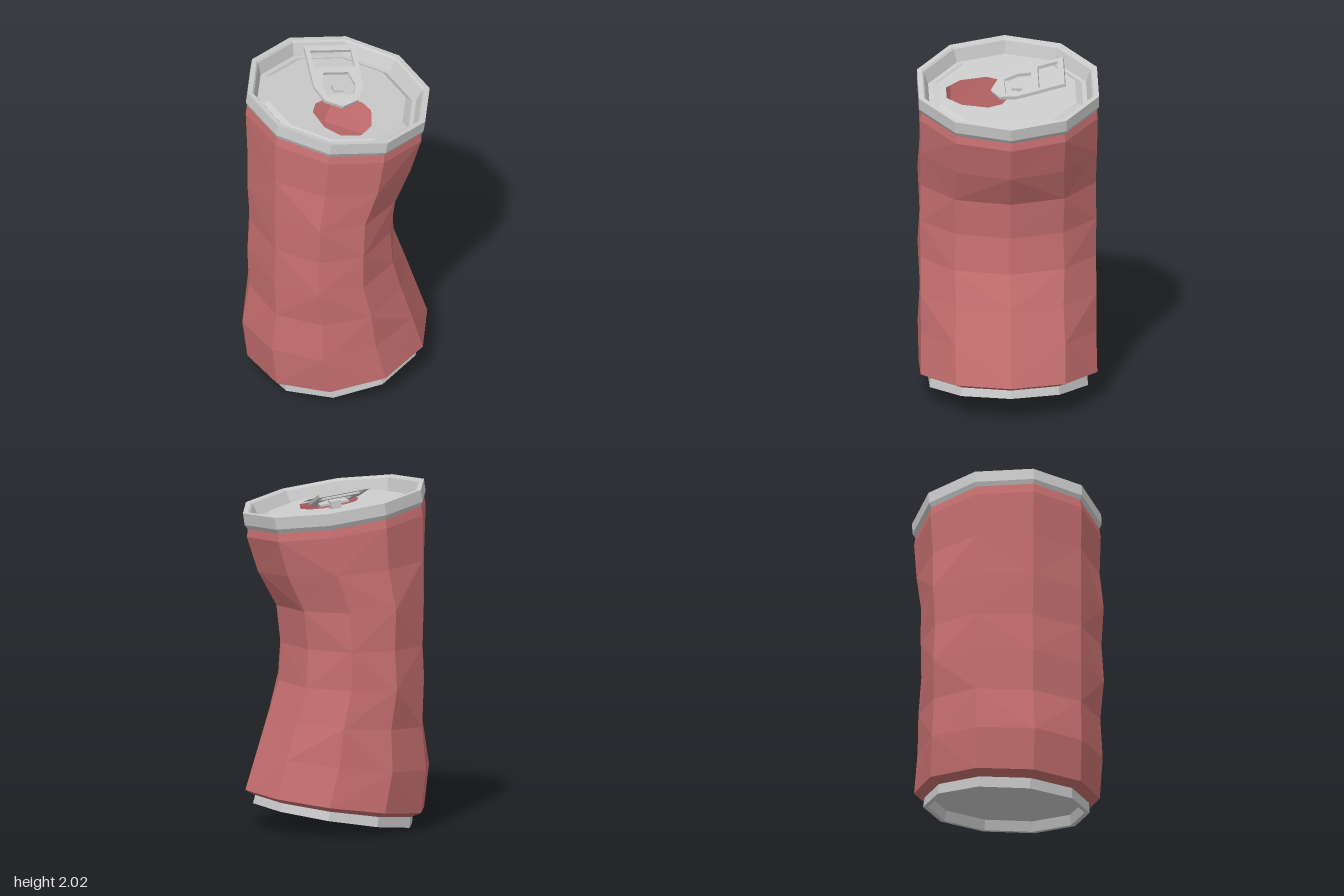
import * as THREE from 'three';

const SIDES = 10;
const silver = new THREE.MeshStandardMaterial({ color: 0xcccccc, flatShading: true, side: THREE.DoubleSide });
const red = new THREE.MeshStandardMaterial({ color: 0xc87070, flatShading: true, side: THREE.DoubleSide });

function add(parent, name, geometry, material = silver) {
  const mesh = new THREE.Mesh(geometry, material);
  mesh.name = name;
  parent.add(mesh);
  return mesh;
}

const points = (list) => list.map(([x, y]) => new THREE.Vector2(x, y));

// Ten-sided turned part with a corner on +x
const turned = (profile) => new THREE.LatheGeometry(points(profile), SIDES, Math.PI / 2);

// Dented wall: each ring is [left x, left y, right x, right y, z radius]
function bodyGeometry() {
  const rings = [
    [-0.465, 0.065, 0.48, 0.2, 0.475],
    [-0.53, 0.09, 0.535, 0.23, 0.535],
    [-0.56, 0.34, 0.466, 0.45, 0.535],
    [-0.52, 0.6, 0.4, 0.66, 0.53],
    [-0.53, 0.85, 0.335, 0.86, 0.535],
    [-0.515, 1.08, 0.325, 1.08, 0.53],
    [-0.53, 1.33, 0.35, 1.3, 0.535],
    [-0.53, 1.58, 0.46, 1.5, 0.53],
    [-0.54, 1.85, 0.525, 1.7, 0.538],
    [-0.53, 1.905, 0.52, 1.75, 0.528],
  ];
  const position = [], index = [];
  rings.forEach(([xl, yl, xr, yr, rz], j) => {
    const dented = j > 1 && j < 8;
    for (let i = 0; i < SIDES; i++) {
      const angle = (i / SIDES) * Math.PI * 2;
      const c = Math.cos(angle), s = Math.sin(angle);
      const wave = dented ? ((i + j) % 2 ? 1.008 : 0.992) : 1;
      position.push(
        (xl + xr) / 2 + ((xr - xl) / 2) * c * (dented && i % 5 ? wave : 1),
        (yl + yr) / 2 + ((yr - yl) / 2) * c,
        rz * s * wave
      );
    }
  });
  // Diagonals alternate so the facets form diamonds
  for (let j = 0; j < rings.length - 1; j++) {
    for (let i = 0; i < SIDES; i++) {
      const n = (i + 1) % SIDES;
      const a = j * SIDES + i, b = j * SIDES + n, d = a + SIDES, e = b + SIDES;
      if ((i + j) % 2) index.push(a, d, e, a, e, b);
      else index.push(a, d, b, d, e, b);
    }
  }
  const geometry = new THREE.BufferGeometry();
  geometry.setAttribute('position', new THREE.Float32BufferAttribute(position, 3));
  geometry.setIndex(index);
  geometry.computeVertexNormals();
  return geometry;
}

// Tilted lid with rim, raised panel and mouth opening
function createLid() {
  const lid = new THREE.Group();
  lid.name = 'lid';
  add(lid, 'topRim', turned([
    [0.525, -0.105], [0.545, -0.07], [0.545, 0], [0.515, 0],
    [0.505, -0.01], [0.478, -0.085], [0.452, -0.085], [0.41, -0.06],
  ]));

  const outline = [];
  for (let i = 0; i < SIDES; i++) {
    const angle = (i / SIDES) * Math.PI * 2;
    outline.push([0.41 * Math.cos(angle), 0.41 * Math.sin(angle)]);
  }
  const panel = new THREE.Shape(points(outline));
  panel.holes.push(new THREE.Path(points([
    [-0.06, -0.355], [-0.14, -0.27], [-0.175, -0.12], [-0.14, -0.04], [-0.07, 0.0],
    [0.07, 0.0], [0.14, -0.04], [0.175, -0.12], [0.14, -0.27], [0.06, -0.355],
  ])));
  const panelGeometry = new THREE.ShapeGeometry(panel);
  panelGeometry.rotateX(-Math.PI / 2);
  add(lid, 'lidPanel', panelGeometry).position.y = -0.06;

  // Pull tab, lifted at the back
  const tab = new THREE.Shape(points([
    [-0.1, 0.045], [0, 0], [0.1, 0.045], [0.148, 0.15],
    [0.152, 0.44], [-0.152, 0.44], [-0.148, 0.15],
  ]));
  tab.holes.push(new THREE.Path(points([
    [-0.122, 0.285], [-0.122, 0.405], [0.122, 0.405], [0.122, 0.285],
  ])));
  tab.holes.push(new THREE.Path(points([
    [-0.08, 0.085], [-0.1, 0.165], [-0.075, 0.245], [0.075, 0.245], [0.1, 0.165], [0.08, 0.085],
  ])));
  const tabGeometry = new THREE.ExtrudeGeometry(tab, { depth: 0.02, bevelEnabled: false });
  tabGeometry.rotateX(-Math.PI / 2 + 0.29);
  add(lid, 'pullTab', tabGeometry).position.set(0.01, -0.06, 0.095);

  add(lid, 'tabTongue', new THREE.BoxGeometry(0.17, 0.012, 0.08)).position.set(0.01, -0.034, -0.01);
  add(lid, 'rivet', new THREE.BoxGeometry(0.06, 0.045, 0.06)).position.set(0.01, -0.0375, -0.05);

  lid.position.set(0.01, 1.92, 0);
  lid.rotation.z = -0.147;
  return lid;
}

export function createModel() {
  const can = new THREE.Group();
  can.name = 'crushedCan';
  add(can, 'body', bodyGeometry(), red);
  can.add(createLid());

  // Tilted foot ring with a recessed bottom
  const base = add(can, 'base', turned([
    [0.473, 0.065], [0.48, 0], [0.452, 0], [0.44, 0.06], [0, 0.06],
  ]));
  base.position.set(0.015, 0.076, 0);
  base.rotation.z = 0.157;
  return can;
}
